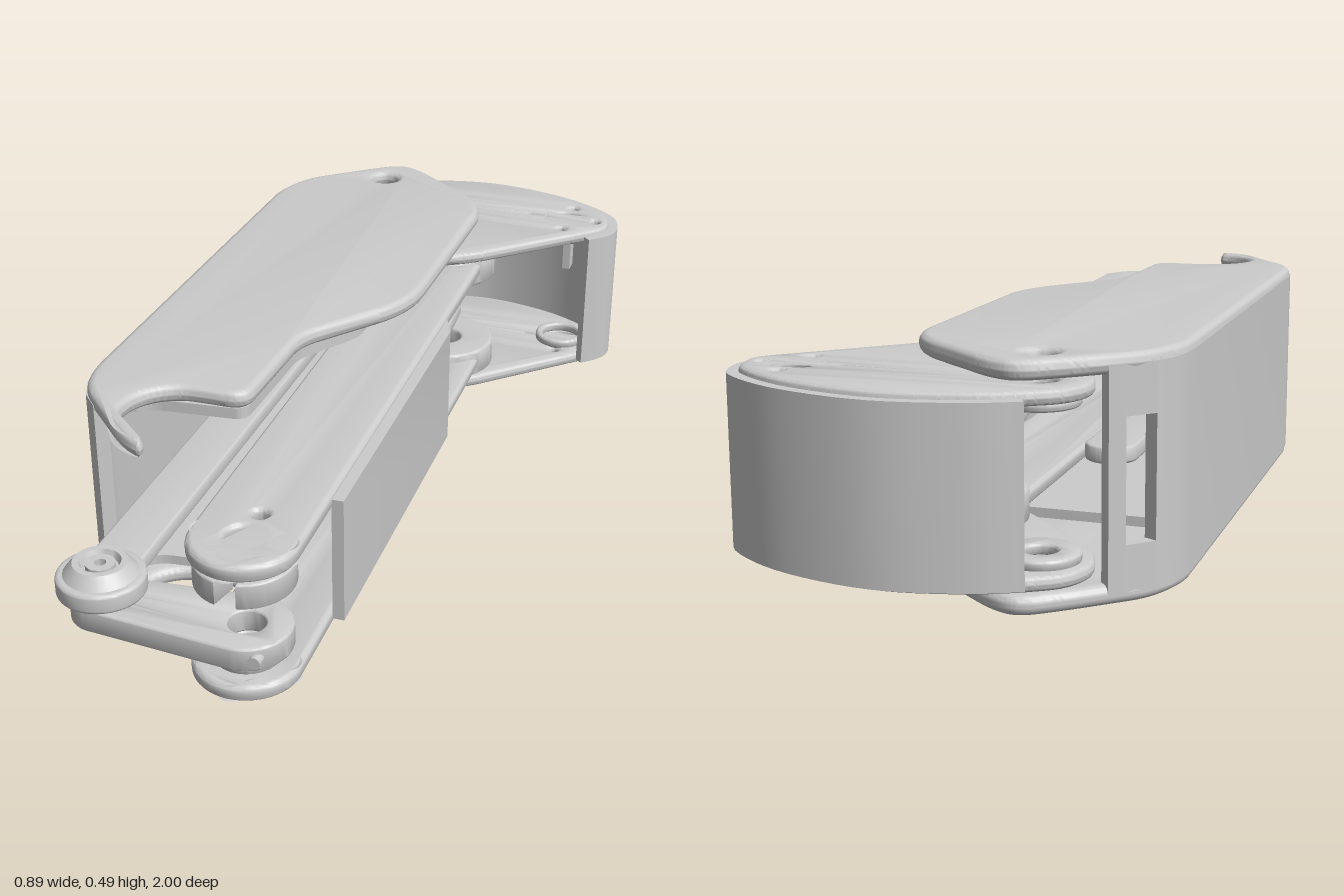
import * as THREE from 'three';
import { toCreasedNormals } from 'three/addons/utils/BufferGeometryUtils.js';

const mat = new THREE.MeshStandardMaterial({ color: 0xcccccc, side: THREE.DoubleSide });
const V = (x, z) => new THREE.Vector2(x, -z);

function add(parent, name, geo) {
  const m = new THREE.Mesh(geo, mat);
  m.name = name;
  parent.add(m);
  return m;
}

// closed outline of [x, z] points with softened corners of reach r
function outline(pts, r) {
  const s = new THREE.Shape(), n = pts.length;
  pts.forEach((p, i) => {
    const c = V(...p), a = V(...pts[(i + n - 1) % n]), b = V(...pts[(i + 1) % n]);
    const toward = q => c.clone().lerp(q, Math.min(0.49, r / c.distanceTo(q)));
    const s0 = toward(a), s1 = toward(b);
    if (i) s.lineTo(s0.x, s0.y); else s.moveTo(s0.x, s0.y);
    s.quadraticCurveTo(c.x, c.y, s1.x, s1.y);
  });
  s.closePath();
  return s;
}

// outline of a link with round ends of radius ra and rb
function capsule([ax, az], ra, [bx, bz], rb) {
  const s = new THREE.Shape(), t = Math.atan2(-(bz - az), bx - ax);
  s.absarc(ax, -az, ra, t + Math.PI / 2, t + Math.PI * 1.5, false);
  s.absarc(bx, -bz, rb, t - Math.PI / 2, t + Math.PI / 2, false);
  s.closePath();
  return s;
}

function hole(s, x, z, r) {
  const h = new THREE.Path();
  h.absarc(x, -z, r, 0, Math.PI * 2, true);
  s.holes.push(h);
  return s;
}

// horizontal slab between y0 and y1 with edges rounded by b
function slab(s, y0, y1, b = 0) {
  const g = new THREE.ExtrudeGeometry(s, {
    depth: y1 - y0 - 2 * b, curveSegments: 14, bevelEnabled: b > 0,
    bevelThickness: b, bevelSize: b, bevelOffset: -b, bevelSegments: 4
  });
  g.rotateX(-Math.PI / 2);
  g.translate(0, y0 + b, 0);
  return toCreasedNormals(g, 0.6);
}

// upright wall of thickness t following a path, thickened to one side
function wall(pts, t, y0, y1) {
  const p = pts.map(q => V(...q));
  const inner = p.map((q, i) => {
    const d = p[Math.min(i + 1, p.length - 1)].clone().sub(p[Math.max(i - 1, 0)]).normalize();
    return new THREE.Vector2(q.x - d.y * t, q.y + d.x * t);
  });
  return slab(new THREE.Shape([...p, ...inner.reverse()]), y0, y1);
}

// smooth run of points through a few path points
const spline = (pts, n) => new THREE.SplineCurve(pts.map(p => new THREE.Vector2(...p)))
  .getPoints(n).map(p => [p.x, p.y]);

// ring or tube about a vertical axis
function ring(x, z, r0, r1, y0, y1) {
  return slab(hole(capsule([x, z], r1, [x + 1e-4, z], r1), x, z, r0), y0, y1, 0.008);
}

function box(w, h, d, x, y, z) {
  return new THREE.BoxGeometry(w, h, d).translate(x, y, z);
}

const WRIST = [0.09, 0.87], ELBOW = [0.05, -0.58], COVER = [-0.19, -0.8], TIP = [0.32, -0.8];
const CRANK = [-0.215, 0.875];

function buildCover() {
  const g = new THREE.Group();
  g.name = 'outerCover';
  const notch = [];
  for (let i = 0; i <= 12; i++) {
    const a = Math.PI * (0.52 + 0.96 * i / 12);
    notch.push([-0.165 + 0.11 * Math.cos(a), 0.625 + 0.11 * Math.sin(a)]);
  }
  const pts = [[-0.185, -0.92], [-0.26, -0.86], [-0.395, -0.735], [-0.434, -0.63], [-0.412, 0.5], [-0.385, 0.58],
    [-0.225, 0.74], [-0.17, 0.768], ...notch, [-0.05, 0.514], [-0.05, 0.2], [0.1, -0.01], [0.127, -0.1],
    [0.12, -0.66], [0.075, -0.74], [-0.12, -0.9]];
  for (const [y0, y1, s0, s1, n] of [[0.003, 0.043, 0.043, 0.065, 'lower'], [0.45, 0.49, 0.425, 0.45, 'upper']]) {
    add(g, n + 'CoverPlate', slab(hole(outline(pts, 0.05), ...COVER, 0.034), y0, y1, 0.018));
    add(g, n + 'CoverStep', slab(outline([[-0.4, -0.4], [-0.385, 0.5], [-0.3, 0.55], [-0.26, 0.52], [-0.06, 0.5],
      [-0.06, 0.2], [0.03, 0.05], [0.03, -0.4]], 0.03), s0, s1));
  }
  // side wall, split around the window in the rear corner
  const Y0 = 0.022, Y1 = 0.471, a = [-0.352, -0.775], b = [-0.398, -0.727];
  add(g, 'coverWall', wall([b, [-0.418, -0.69], [-0.43, -0.64], [-0.434, -0.59], [-0.413, 0.47], [-0.405, 0.53],
    [-0.382, 0.583], [-0.345, 0.622]], 0.03, Y0, Y1));
  add(g, 'coverWallEnd', wall([[-0.325, -0.8], a], 0.03, Y0, Y1));
  add(g, 'windowSill', wall([a, b], 0.03, Y0, 0.12));
  add(g, 'windowHead', wall([a, b], 0.03, 0.37, Y1));
  // stiffening ribs and screw bosses inside the wall
  for (const z of [0.28, 0.1, -0.1, -0.28, -0.42])
    for (const y of [0.058, 0.435]) add(g, 'coverRib', box(0.06, 0.035, 0.012, -0.385, y, z));
  for (const z of [-0.23, -0.42])
    for (const y of [0.147, 0.346])
      add(g, 'screwBoss', new THREE.CylinderGeometry(0.033, 0.033, 0.09, 20).rotateZ(Math.PI / 2).translate(-0.367, y, z));
  return g;
}

function buildBase() {
  const g = new THREE.Group();
  g.name = 'rearBracket';
  const back = spline([[0.385, -0.715], [0.425, -0.76], [0.43, -0.81], [0.395, -0.88], [0.26, -0.96], [0.07, -1],
    [-0.1, -0.97], [-0.2, -0.925]], 36);
  const pts = [...back, [-0.27, -0.88], [-0.3, -0.8], [-0.27, -0.71], [-0.07, -0.5], [0.05, -0.42], [0.15, -0.48]];
  for (const [y0, y1, b0, b1, h0, h1, n] of [[0.055, 0.085, 0.08, 0.105, 0.08, 0.15, 'lower'],
    [0.407, 0.437, 0.387, 0.41, 0.34, 0.41, 'upper']]) {
    const s = hole(hole(outline(pts, 0.04), ...COVER, 0.034), ...TIP, 0.048);
    for (let i = 0; i < 4; i++)
      hole(s, TIP[0] + 0.075 * Math.cos(i * Math.PI / 2), TIP[1] + 0.075 * Math.sin(i * Math.PI / 2), 0.011);
    add(g, n + 'BracketPlate', slab(s, y0, y1, 0.013));
    add(g, n + 'TipBoss', ring(...TIP, 0.048, 0.066, b0, b1));
    add(g, n + 'PivotBoss', ring(...COVER, 0.034, 0.08, b0, b1));
    add(g, n + 'ElbowHub', ring(...ELBOW, 0.045, 0.13, h0, h1));
  }
  add(g, 'bracketWall', wall(back, -0.024, 0.068, 0.424));
  add(g, 'bracketRib', box(0.02, 0.14, 0.04, 0.305, 0.32, -0.915));
  return g;
}

function buildArm() {
  const g = new THREE.Group();
  g.name = 'innerArm';
  for (const [y0, y1, n] of [[0.095, 0.13, 'lower'], [0.363, 0.4, 'upper']]) {
    const s = hole(hole(capsule(WRIST, 0.11, ELBOW, 0.11), ...WRIST, 0.038), ...ELBOW, 0.045);
    for (let i = 0; i < 4; i++)
      hole(s, WRIST[0] + 0.082 * Math.cos(i * Math.PI / 2), WRIST[1] + 0.082 * Math.sin(i * Math.PI / 2), 0.016);
    add(g, n + 'ArmPlate', slab(s, y0, y1, 0.012));
  }
  add(g, 'armWall', wall([[0.194, 0.68], [0.173, -0.12], [0.13, -0.22]], -0.025, 0.108, 0.388));
  add(g, 'rearWebLower', box(0.03, 0.035, 0.12, 0.12, 0.14, -0.26));
  add(g, 'rearWebUpper', box(0.03, 0.035, 0.12, 0.12, 0.355, -0.26));
  // clamp hub at the front joint, split by a slot
  for (const side of [-1, 1]) {
    const s = new THREE.Shape();
    const a = side > 0 ? -1.35 : 1.8;
    s.absarc(WRIST[0], -WRIST[1], 0.1, a, a + 2.7, false);
    s.absarc(WRIST[0], -WRIST[1], 0.04, a + 2.7, a, true);
    add(g, 'clampHalf', slab(s, 0.3, 0.355, 0.005));
  }
  add(g, 'clampBack', ring(...WRIST, 0.04, 0.06, 0.345, 0.368));
  // central tongue running back to the elbow
  add(g, 'tongue', slab(capsule([0.1, -0.1], 0.03, [0.04, -0.575], 0.055), 0.215, 0.25, 0.006));
  add(g, 'tongueBoss', ring(0.04, -0.575, 0.025, 0.045, 0.245, 0.28));
  return g;
}

function buildLinkage() {
  const g = new THREE.Group();
  g.name = 'linkage';
  const lever = hole(hole(capsule(WRIST, 0.092, CRANK, 0.065), ...WRIST, 0.038), ...CRANK, 0.02);
  add(g, 'frontLever', slab(lever, 0.153, 0.205, 0.006));
  add(g, 'leverHub', ring(...WRIST, 0.038, 0.07, 0.128, 0.155));
  // long push rod beside the arm
  add(g, 'pushRod', slab(capsule(CRANK, 0.055, [-0.24, -0.5], 0.055), 0.215, 0.25, 0.006));
  add(g, 'pushRodEye', ring(...CRANK, 0.045, 0.09, 0.213, 0.255));
  const p = [[0, 0.2], [0.07, 0.2], [0.075, 0.255], [0.055, 0.28], [0.042, 0.28], [0.036, 0.265], [0.03, 0.265],
    [0.03, 0.276], [0.012, 0.276], [0.012, 0.25], [0, 0.25]].map(q => new THREE.Vector2(...q));
  add(g, 'pivotCap', toCreasedNormals(new THREE.LatheGeometry(p, 28), 0.5)).position.set(CRANK[0], 0, CRANK[1]);
  // clamp screw in the lever
  add(g, 'clampScrew', new THREE.CylinderGeometry(0.013, 0.013, 0.03, 16).rotateX(Math.PI / 2).translate(0.14, 0.18, 0.945));
  return g;
}

export function createModel() {
  const model = new THREE.Group();
  model.name = 'foldingArm';
  model.add(buildCover(), buildBase(), buildArm(), buildLinkage());
  return model;
}
